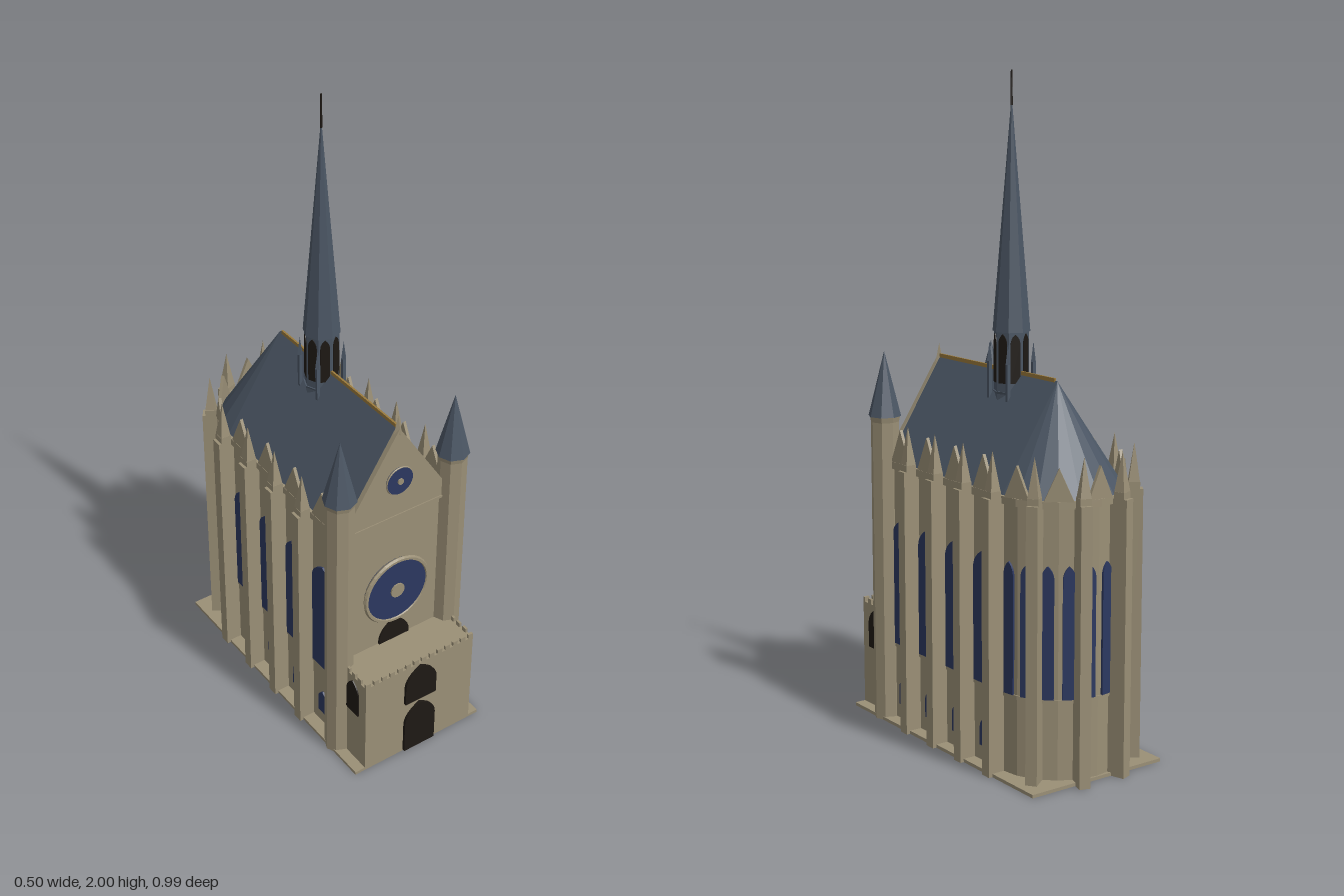
import * as THREE from 'three';

const mat = (color, flat = true) => new THREE.MeshStandardMaterial({ color, flatShading: flat });
const STONE = mat(0x9a8f76), SLATE = mat(0x4b5664), GLASS = mat(0x2c3860), DARK = mat(0x1e1914), GOLD = mat(0x9a7a3c);
const APSE_Z = -0.26, R = 0.195, EAVE = 0.82, RIDGE = 1.13;

function add(parent, name, geo, material, x = 0, y = 0, z = 0) {
  const m = new THREE.Mesh(geo, material);
  m.name = name;
  m.position.set(x, y, z);
  parent.add(m);
  return m;
}
const box = (w, h, d) => new THREE.BoxGeometry(w, h, d);
const extrude = (shape, depth) => new THREE.ExtrudeGeometry(shape, { depth, bevelEnabled: false, curveSegments: 6 });

// Pointed arch panel standing on y = 0, facing +z
function lancet(w, h, rise, depth = 0.008) {
  const s = new THREE.Shape();
  s.moveTo(-w / 2, 0);
  s.lineTo(w / 2, 0);
  s.lineTo(w / 2, h - rise);
  s.quadraticCurveTo(w / 2, h - rise * 0.4, 0, h);
  s.quadraticCurveTo(-w / 2, h - rise * 0.4, -w / 2, h - rise);
  return extrude(s, depth);
}
function triangle(w, h, depth) {
  const s = new THREE.Shape();
  s.moveTo(-w / 2, 0);
  s.lineTo(w / 2, 0);
  s.lineTo(0, h);
  return extrude(s, depth);
}
// Group whose local +z points outward at angle a (0 = +z, 90 degrees = +x)
function facing(parent, name, x, z, a) {
  const g = new THREE.Group();
  g.name = name;
  g.position.set(x, 0, z);
  g.rotation.y = a;
  parent.add(g);
  return g;
}

// Buttress with a cap and a pyramid pinnacle
function buttress(parent, x, z, a) {
  const g = facing(parent, 'buttress', x, z, a);
  add(g, 'buttressShaft', box(0.034, EAVE, 0.06), STONE, 0, EAVE / 2, 0.022);
  add(g, 'buttressCap', box(0.034, 0.02, 0.034), STONE, 0, EAVE + 0.01, 0.026);
  const p = add(g, 'pinnacle', new THREE.ConeGeometry(0.024, 0.12, 4), STONE, 0, 0.895, 0.026);
  p.rotation.y = Math.PI / 4;
}

function roseWindow(parent, y, r, z) {
  const g = new THREE.Group();
  g.name = 'roseWindow';
  g.position.set(0, y, z);
  parent.add(g);
  add(g, 'roseGlass', new THREE.CylinderGeometry(r, r, 0.014, 32), GLASS).rotation.x = Math.PI / 2;
  add(g, 'roseRing', new THREE.TorusGeometry(r, r * 0.07, 6, 32), STONE, 0, 0, 0.004);
  add(g, 'roseHub', new THREE.CylinderGeometry(r * 0.22, r * 0.22, 0.024, 12), STONE).rotation.x = Math.PI / 2;
}

export function createModel() {
  const root = new THREE.Group();
  root.name = 'chapel';

  add(root, 'base', box(0.47, 0.01, 0.94), STONE, 0, 0.005, 0.01);

  // Nave and polygonal apse
  const naveLen = 0.34 - APSE_Z, naveZ = (0.34 + APSE_Z) / 2;
  add(root, 'nave', box(2 * R, EAVE, naveLen), STONE, 0, EAVE / 2, naveZ);
  const half = (r, h) => new THREE.CylinderGeometry(r, r, h, 10, 1, false, Math.PI / 2, Math.PI);
  add(root, 'apse', half(R, EAVE), STONE, 0, EAVE / 2, APSE_Z);
  for (const [y, h, e] of [[0.245, 0.012, 0.004], [0.815, 0.022, 0.009]]) {
    add(root, 'naveCornice', box(2 * (R + e), h, naveLen - 0.01), STONE, 0, y, naveZ - 0.005);
    add(root, 'apseCornice', half(R + e, h), STONE, 0, y, APSE_Z);
  }

  // Roofs and ridge
  add(root, 'naveRoof', triangle(2 * R + 0.006, RIDGE - EAVE, naveLen - 0.01), SLATE, 0, EAVE, APSE_Z);
  add(root, 'apseRoof', new THREE.ConeGeometry(R + 0.003, RIDGE - EAVE, 10, 1, false, Math.PI / 2, Math.PI),
    SLATE, 0, (EAVE + RIDGE) / 2, APSE_Z);
  add(root, 'ridgeCrest', box(0.006, 0.014, naveLen - 0.02), GOLD, 0, RIDGE, naveZ);

  // Side bays: tall window, low window, gable and buttress
  for (const side of [-1, 1]) {
    const a = side * Math.PI / 2;
    for (let i = 0; i < 4; i++) {
      const z = 0.252 - i * 0.1435;
      const bay = facing(root, 'sideBay', side * R, z, a);
      add(bay, 'tallWindow', lancet(0.104, 0.4, 0.06), GLASS, 0, 0.25, -0.002);
      add(bay, 'lowWindow', lancet(0.042, 0.085, 0.03), GLASS, 0, 0.058, -0.002);
      add(bay, 'eaveGable', triangle(0.1, 0.105, 0.01), STONE, 0, 0.825, -0.002);
      buttress(root, side * R, z - 0.072, a);
    }
  }

  // Apse bays: paired lancets, gable, buttresses between bays
  const out = (deg, r) => {
    const a = Math.PI / 2 + deg * Math.PI / 180;
    return [r * Math.sin(a), APSE_Z + r * Math.cos(a), a];
  };
  const inR = R * Math.cos(Math.PI / 20);
  for (let i = 0; i < 5; i++) {
    for (const d of [9, 27]) {
      const g = facing(root, 'apseWindow', ...out(i * 36 + d, inR));
      add(g, 'lancetWindow', lancet(0.037, 0.39, 0.04), GLASS, 0, 0.25, -0.002);
    }
    const g = facing(root, 'apseGable', ...out(i * 36 + 18, inR - 0.002));
    add(g, 'eaveGable', triangle(0.085, 0.095, 0.01), STONE, 0, 0.825, 0);
    if (i > 0) buttress(root, ...out(i * 36, R));
  }

  // West front
  add(root, 'frontGable', triangle(0.4, RIDGE - EAVE, 0.016), STONE, 0, EAVE, 0.331);
  add(root, 'frontCornice', box(0.34, 0.008, 0.016), STONE, 0, EAVE, 0.342);
  add(root, 'gablePinnacle', new THREE.ConeGeometry(0.014, 0.06, 4), STONE, 0, 1.14, 0.337);
  add(root, 'frontDoor', lancet(0.11, 0.22, 0.07), DARK, 0, 0.2, 0.338);
  roseWindow(root, 0.54, 0.112, 0.348);
  roseWindow(root, 0.95, 0.045, 0.348);

  // Corner turrets
  for (const side of [-1, 1]) {
    const t = facing(root, 'turret', side * 0.2, 0.34, 0);
    add(t, 'turretShaft', new THREE.CylinderGeometry(0.044, 0.044, 0.96, 8), STONE, 0, 0.48, 0);
    add(t, 'turretCornice', new THREE.CylinderGeometry(0.048, 0.044, 0.02, 8), STONE, 0, 0.955, 0);
    add(t, 'turretRoof', new THREE.ConeGeometry(0.051, 0.2, 8), SLATE, 0, 1.062, 0);
  }

  // Porch with battlements and pointed openings
  add(root, 'porch', box(0.4, 0.34, 0.14), STONE, 0, 0.17, 0.41);
  add(root, 'portal', lancet(0.114, 0.18, 0.07, 0.012), DARK, 0, 0.004, 0.477);
  add(root, 'upperPortal', lancet(0.114, 0.135, 0.07, 0.012), DARK, 0, 0.2, 0.477);
  for (let i = 0; i < 14; i++)
    add(root, 'merlon', box(0.017, 0.016, 0.008), STONE, -0.1915 + i * 0.02946, 0.347, 0.476);
  for (const side of [-1, 1]) {
    const g = facing(root, 'porchSide', side * 0.2, 0.415, side * Math.PI / 2);
    add(g, 'sideOpening', lancet(0.06, 0.125, 0.05), DARK, 0, 0.2, -0.004);
    for (let i = 0; i < 3; i++) add(g, 'merlon', box(0.017, 0.016, 0.008), STONE, -0.03 + i * 0.03, 0.347, -0.004);
  }

  // Ridge spire with open belfry and corner pinnacles
  const s = facing(root, 'spire', 0, -0.04, 0);
  add(s, 'belfry', new THREE.CylinderGeometry(0.052, 0.052, 0.2, 8), SLATE, 0, 1.15, 0);
  add(s, 'belfryFoot', new THREE.CylinderGeometry(0.056, 0.04, 0.03, 8), SLATE, 0, 1.06, 0);
  for (let i = 0; i < 8; i++) {
    const a = (i + 0.5) * Math.PI / 4, r = 0.052 * Math.cos(Math.PI / 8) - 0.003;
    const g = facing(s, 'belfryFace', r * Math.sin(a), r * Math.cos(a), a);
    add(g, 'belfryOpening', lancet(0.029, 0.145, 0.03, 0.005), DARK, 0, 1.1, 0);
  }
  add(s, 'spireRoof', new THREE.ConeGeometry(0.056, 0.68, 8), SLATE, 0, 1.59, 0);
  add(s, 'finial', new THREE.CylinderGeometry(0.0025, 0.0035, 0.1, 6), DARK, 0, 1.95, 0);
  for (const x of [-0.046, 0.046]) for (const z of [-0.046, 0.046]) {
    add(s, 'cornerShaft', box(0.01, 0.12, 0.01), SLATE, x, 1.1, z);
    add(s, 'cornerPinnacle', new THREE.ConeGeometry(0.009, 0.06, 4), SLATE, x, 1.19, z);
  }
  return root;
}
